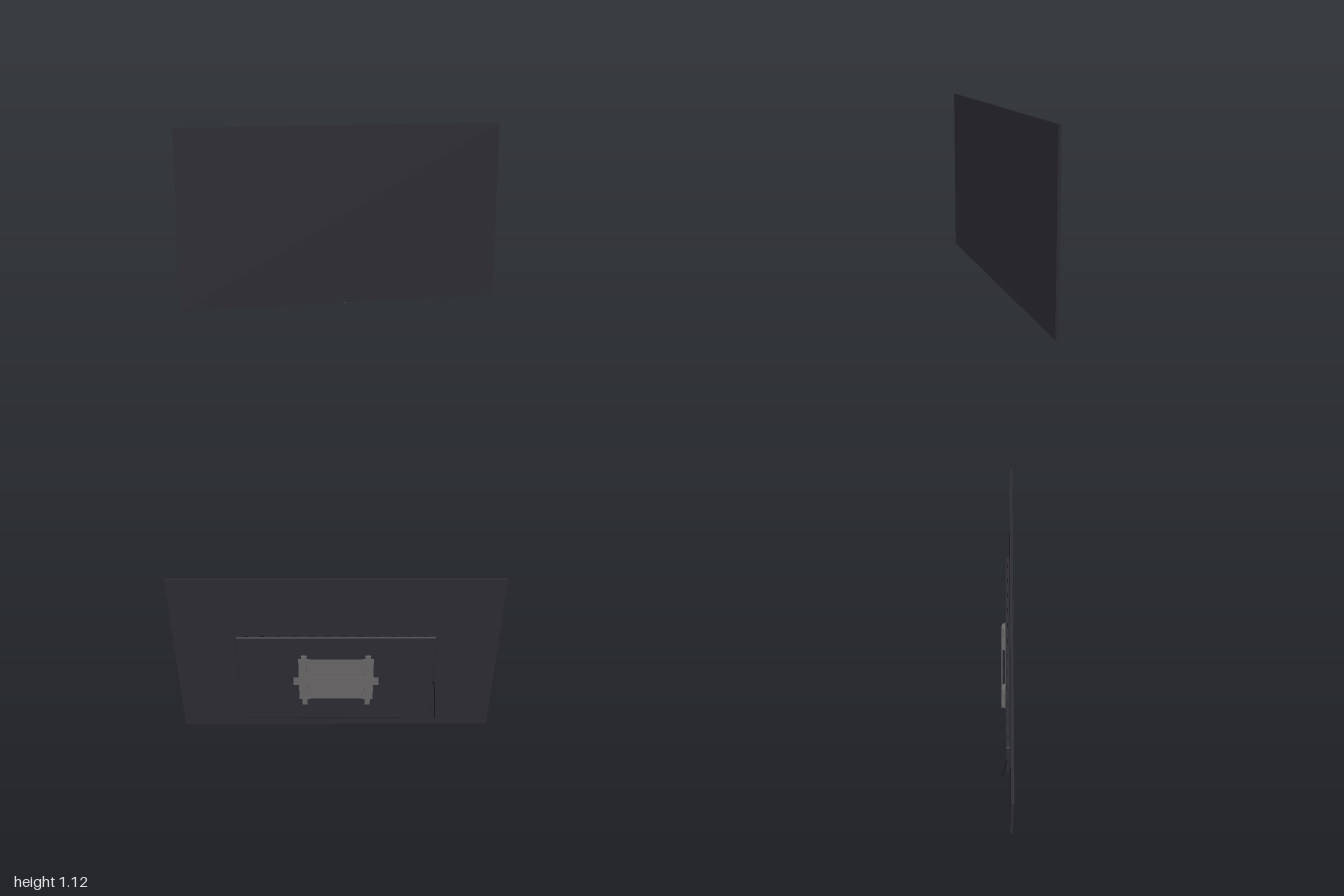
import * as THREE from 'three';
import { RoundedBoxGeometry } from 'three/addons/geometries/RoundedBoxGeometry.js';

export function createModel() {
  const group = new THREE.Group();
  const material = (name, color) => {
    const m = new THREE.MeshStandardMaterial({ color });
    m.name = name;
    return m;
  };
  const casing = material('dark casing', 0x2a2a31);
  const metal = material('grey metal', 0x666465);
  const black = material('black plastic', 0x151517);

  const add = (name, geometry, mat) => {
    const mesh = new THREE.Mesh(geometry, mat);
    mesh.name = name;
    group.add(mesh);
    return mesh;
  };
  // Box given by its limits on each axis
  const box = (name, mat, [x0, x1], [y0, y1], [z0, z1]) =>
    add(name, new THREE.BoxGeometry(x1 - x0, y1 - y0, z1 - z0), mat)
      .position.set((x0 + x1) / 2, (y0 + y1) / 2, (z0 + z1) / 2);

  // Thin screen panel
  box('screenPanel', casing, [-1, 1], [0.003, 1.125], [0.017, 0.035]);
  // Standby light under the front edge
  box('standbyLight', metal, [0.015, 0.03], [0, 0.004], [0.024, 0.03]);

  // Electronics housing with rounded edges
  add('rearHousing', new RoundedBoxGeometry(1.23, 0.65, 0.027, 3, 0.008), casing)
    .position.set(0, 0.405, 0.0035);

  // Vent slots along the top of the housing
  for (let i = 0; i < 12; i++) {
    const x = -0.55 + i * 0.1;
    box('ventSlot', black, [x - 0.015, x + 0.015], [0.729, 0.731], [0.001, 0.006]);
  }
  // Sockets on the right edge of the housing
  for (let i = 0; i < 4; i++) {
    const y = 0.365 + i * 0.023;
    box('socket', black, [-0.616, -0.613], [y - 0.006, y + 0.006], [-0.005, 0.006]);
  }

  // Wall bracket: back plate, paired flanges and rails, crossbar
  box('bracketPlate', metal, [-0.18, 0.18], [0.25, 0.565], [-0.012, -0.009]);
  for (const s of [-1, 1]) {
    box('bracketFlange', metal, [s * 0.2 - 0.035, s * 0.2 + 0.035], [0.247, 0.569], [-0.016, -0.009]);
    box('bracketRail', metal, [s * 0.2 - 0.017, s * 0.2 + 0.017], [0.215, 0.597], [-0.031, -0.015]);
  }
  box('crossbar', metal, [-0.268, 0.268], [0.378, 0.435], [-0.035, -0.03]);

  // Power cable hanging from the sockets
  const path = new THREE.CatmullRomCurve3([
    [-0.61, 0.39, 0], [-0.62, 0.375, -0.004], [-0.628, 0.34, -0.01],
    [-0.635, 0.22, -0.022], [-0.645, 0.098, -0.032],
  ].map((p) => new THREE.Vector3(...p)));
  add('powerCable', new THREE.TubeGeometry(path, 24, 0.003, 8), black);

  return group;
}
